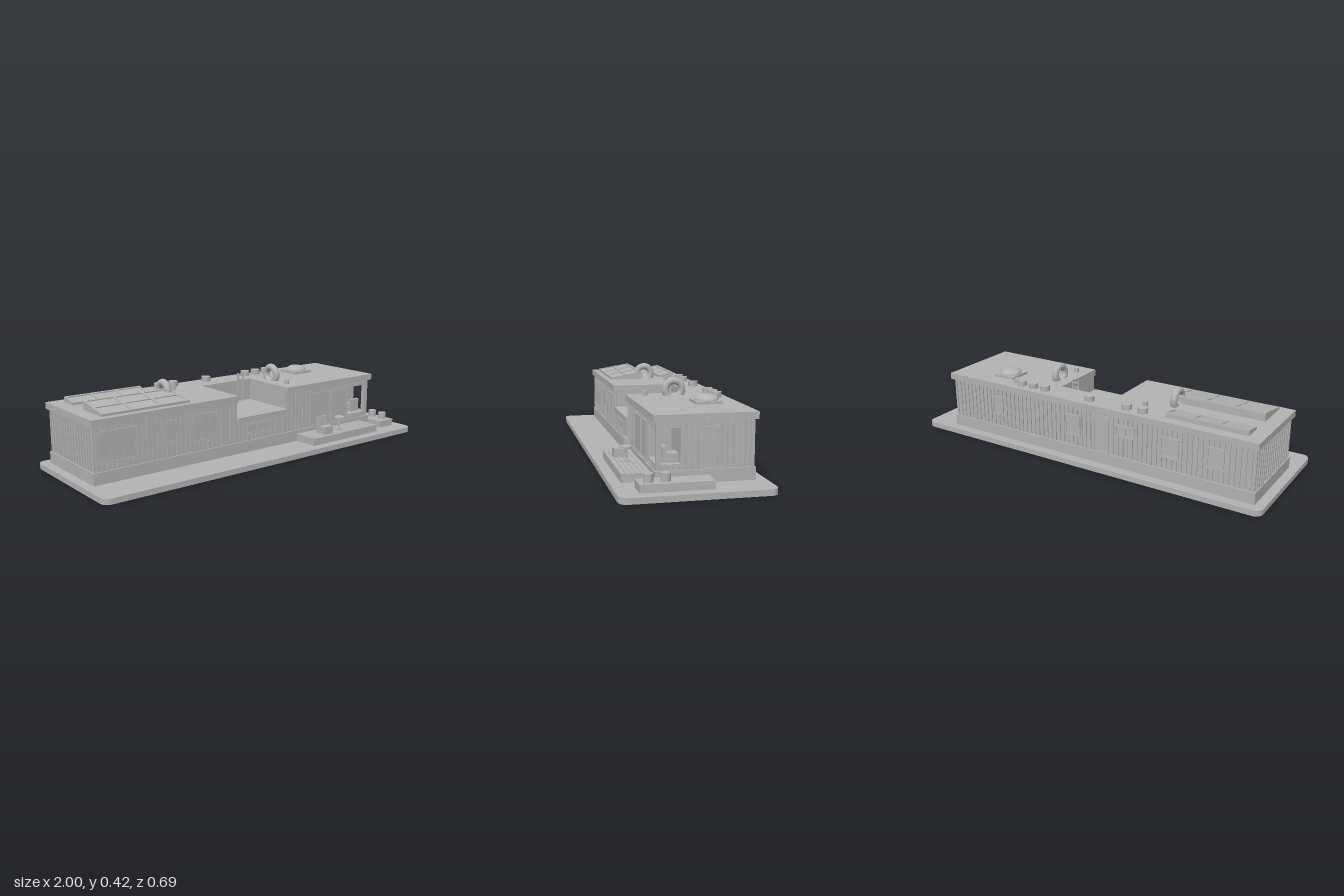
import * as THREE from 'three';

export function createModel() {
  const model = new THREE.Group();
  const grey = new THREE.MeshStandardMaterial({ color: 0xb2b2b2 });
  grey.name = 'plain grey';

  const add = (name, geometry, parent = model) => {
    const mesh = new THREE.Mesh(geometry, grey);
    mesh.name = name;
    parent.add(mesh);
    return mesh;
  };
  // Box given by its limits on each axis
  const box = (name, x0, x1, y0, y1, z0, z1, parent = model) => {
    const mesh = add(name, new THREE.BoxGeometry(x1 - x0, y1 - y0, z1 - z0), parent);
    mesh.position.set((x0 + x1) / 2, (y0 + y1) / 2, (z0 + z1) / 2);
    return mesh;
  };
  const cylinder = (name, x, z, r, y0, y1, parent = model) => {
    const mesh = add(name, new THREE.CylinderGeometry(r, r, y1 - y0, 24), parent);
    mesh.position.set(x, (y0 + y1) / 2, z);
    return mesh;
  };
  // Flat slab cut from a plan outline drawn in (x, -z)
  const slab = (name, shape, y0, y1) => {
    const geometry = new THREE.ExtrudeGeometry(shape, { depth: y1 - y0, bevelEnabled: false, curveSegments: 8 });
    geometry.rotateX(-Math.PI / 2);
    add(name, geometry).position.y = y0;
  };

  // Ground slab with rounded corners
  const base = new THREE.Shape();
  const c = 0.04, bx = 1, bz = 0.345;
  base.absarc(bx - c, bz - c, c, 0, Math.PI / 2);
  base.absarc(-bx + c, bz - c, c, Math.PI / 2, Math.PI);
  base.absarc(-bx + c, -bz + c, c, Math.PI, Math.PI * 1.5);
  base.absarc(bx - c, -bz + c, c, Math.PI * 1.5, Math.PI * 2);
  slab('groundSlab', base, 0, 0.028);

  // Plinth and wall blocks, leaving a sunken terrace and a corner porch
  box('plinth', -0.952, 0.832, 0.028, 0.087, -0.295, 0.16);
  box('leftWing', -0.945, -0.135, 0.087, 0.3, -0.288, 0.153);
  box('middleBack', -0.135, 0.195, 0.087, 0.3, -0.288, -0.155);
  box('middleFront', -0.135, 0.195, 0.087, 0.192, -0.155, 0.153);
  box('rightWing', 0.195, 0.665, 0.087, 0.3, -0.288, 0.153);
  box('rightWingBack', 0.665, 0.825, 0.087, 0.3, -0.288, 0.045);
  box('porchFloor', 0.665, 0.825, 0.087, 0.115, 0.045, 0.153);
  box('porchLintel', 0.665, 0.825, 0.272, 0.3, 0.045, 0.153);
  box('porchPost', 0.8, 0.825, 0.115, 0.272, 0.13, 0.153);
  box('terraceFloor', -0.135, 0.195, 0.19, 0.217, -0.155, 0.167);

  // Flat roof with a notch over the terrace
  const roof = new THREE.Shape([
    [-0.957, -0.167], [-0.135, -0.167], [-0.135, 0.155], [0.195, 0.155],
    [0.195, -0.167], [0.84, -0.167], [0.84, 0.303], [-0.957, 0.303],
  ].map(([x, y]) => new THREE.Vector2(x, y)));
  slab('roof', roof, 0.3, 0.333);

  // Wall cladding: vertical battens interrupted by windows and openings.
  // Each opening is [from, to, bottom, top, panes]; no panes means an open gap.
  function cladding(name, u0, u1, top, openings, x, z, turn) {
    const wall = new THREE.Group();
    wall.name = name;
    wall.position.set(x, 0, z);
    wall.rotation.y = turn;
    model.add(wall);
    const strip = (u, y0, y1) => {
      if (y1 - y0 > 0.008) box('batten', u - 0.0035, u + 0.0035, y0, y1, -0.002, 0.006, wall);
    };
    for (let u = u0 + 0.014; u < u1 - 0.006; u += 0.0267) {
      const hit = openings.find((o) => u > o[0] - 0.004 && u < o[1] + 0.004);
      if (hit) {
        strip(u, 0.09, hit[2] - 0.008);
        strip(u, hit[3] + 0.008, top);
      } else strip(u, 0.09, top);
    }
    for (const [a, b, y0, y1, panes] of openings) {
      if (!panes) continue;
      box('windowGlass', a, b, y0, y1, -0.002, 0.002, wall);
      for (const y of [y0, y1]) box('windowRail', a, b, y - 0.003, y + 0.003, -0.002, 0.006, wall);
      for (let i = 0; i <= panes; i++) {
        const u = a + ((b - a) * i) / panes;
        box('windowBar', u - 0.003, u + 0.003, y0 - 0.003, y1 + 0.003, -0.002, 0.006, wall);
      }
    }
  }
  cladding('frontCladdingLeft', -0.945, -0.135, 0.3, [
    [-0.92, -0.73, 0.125, 0.27, 3], [-0.57, -0.505, 0.16, 0.265, 1], [-0.405, -0.26, 0.14, 0.27, 3],
  ], 0, 0.153, 0);
  cladding('frontCladdingMiddle', -0.135, 0.195, 0.19, [[-0.07, 0.07, 0.125, 0.17, 2]], 0, 0.153, 0);
  cladding('frontCladdingRight', 0.195, 0.825, 0.3, [
    [0.375, 0.515, 0.095, 0.272, 1], [0.53, 0.65, 0.095, 0.272, 1], [0.665, 0.8, 0.115, 0.272, 0],
  ], 0, 0.153, 0);
  cladding('leftEndCladding', -0.14, 0.288, 0.298, [
    [-0.13, -0.045, 0.115, 0.272, 0], [0.035, 0.123, 0.092, 0.272, 1],
  ], 0.825, 0, Math.PI / 2);
  cladding('rightEndCladding', -0.288, 0.153, 0.298, [], -0.945, 0, -Math.PI / 2);
  cladding('backCladding', -0.825, 0.945, 0.3, [
    [-0.55, -0.49, 0.16, 0.25, 1], [-0.08, 0.005, 0.15, 0.25, 1], [0.09, 0.175, 0.09, 0.28, 1],
    [0.22, 0.32, 0.205, 0.255, 2], [0.47, 0.56, 0.155, 0.25, 1], [0.71, 0.79, 0.16, 0.255, 1],
  ], 0, -0.288, Math.PI);

  // Sloping solar panels: wedge with a raised frame grid
  function solarPanel(x0, x1, zFront, zBack, yBack, columns, rows) {
    const panel = new THREE.Group();
    panel.name = 'solarPanel';
    model.add(panel);
    const yFront = 0.34, depth = zFront - zBack, rise = yBack - yFront;
    const side = new THREE.Shape([[-zFront, 0.332], [-zBack, 0.332], [-zBack, yBack], [-zFront, yFront]]
      .map(([a, b]) => new THREE.Vector2(a, b)));
    const wedge = new THREE.ExtrudeGeometry(side, { depth: x1 - x0, bevelEnabled: false });
    wedge.rotateY(Math.PI / 2);
    add('panelWedge', wedge, panel).position.x = x0;
    const frame = new THREE.Group();
    frame.name = 'panelFrame';
    frame.position.set((x0 + x1) / 2, (yFront + yBack) / 2, (zFront + zBack) / 2);
    frame.rotation.x = Math.atan2(rise, depth);
    panel.add(frame);
    const w = x1 - x0, d = Math.hypot(depth, rise), t = 0.006;
    for (let i = 0; i <= columns; i++) {
      const x = -w / 2 + t + ((w - 2 * t) * i) / columns;
      box('frameBar', x - t, x + t, -0.002, 0.005, -d / 2, d / 2, frame);
    }
    for (let i = 0; i <= rows; i++) {
      const z = -d / 2 + t + ((d - 2 * t) * i) / rows;
      box('frameRail', -w / 2, w / 2, -0.002, 0.005, z - t, z + t, frame);
    }
  }
  solarPanel(-0.885, -0.41, 0.135, -0.05, 0.371, 3, 2);
  solarPanel(-0.885, -0.465, -0.155, -0.247, 0.356, 3, 1);

  // Upright rings on the roof
  for (const x of [-0.435, 0.273]) {
    const ring = add('roofRing', new THREE.TorusGeometry(0.042, 0.018, 20, 40));
    ring.rotation.y = Math.PI / 2;
    ring.position.set(x, 0.362, -0.062);
  }

  // Roof vents
  for (const x of [-0.345, -0.255, -0.04, 0.235, 0.31, 0.385]) cylinder('roofVent', x, -0.25, 0.025, 0.333, 0.36);
  for (const [x, z] of [[0.43, -0.235], [-0.31, -0.165], [0.263, 0.08]]) cylinder('smallVent', x, z, 0.013, 0.333, 0.357);

  // Domed skylight
  box('skylightBase', 0.475, 0.602, 0.333, 0.346, -0.214, -0.087);
  const dome = add('skylightDome', new THREE.SphereGeometry(0.058, 32, 12, 0, Math.PI * 2, 0, Math.PI / 2));
  dome.scale.y = 0.5;
  dome.position.set(0.538, 0.346, -0.152);

  // Ladder from the terrace to the roof
  for (const x of [0.1, 0.135]) box('ladderRail', x - 0.004, x + 0.004, 0.217, 0.378, -0.145, -0.137);
  for (let i = 0; i < 6; i++) box('ladderRung', 0.1, 0.135, 0.235 + i * 0.025, 0.241 + i * 0.025, -0.144, -0.138);

  // Front deck with planks
  box('deckBase', 0.272, 0.76, 0.028, 0.06, 0.155, 0.294);
  for (let i = 0; i < 6; i++) {
    const z = 0.16 + i * 0.0226;
    box('deckPlank', 0.272, 0.76, 0.06, 0.067, z, z + 0.0205);
  }

  // Side deck and planters
  box('sideDeck', 0.84, 0.945, 0.028, 0.065, -0.077, 0.25);
  for (const z of [0.13, 0.205]) cylinder('planter', 0.903, z, 0.022, 0.065, 0.102);

  // Lounge chair on the deck
  box('chairSeat', 0.375, 0.437, 0.067, 0.108, 0.228, 0.268);
  box('chairRear', 0.375, 0.437, 0.067, 0.104, 0.2, 0.23);
  const chairBack = box('chairBack', 0.375, 0.437, 0.09, 0.156, 0.203, 0.218);
  chairBack.rotation.x = -0.12;

  // Round table on the deck
  cylinder('tableTop', 0.522, 0.228, 0.029, 0.134, 0.139);
  cylinder('tableStem', 0.522, 0.228, 0.004, 0.067, 0.135);
  cylinder('tableFoot', 0.522, 0.228, 0.018, 0.067, 0.071);

  // Porch seat
  box('porchSeat', 0.73, 0.792, 0.115, 0.155, 0.046, 0.117);
  box('porchSeatBack', 0.73, 0.792, 0.155, 0.186, 0.098, 0.117);

  return model;
}
